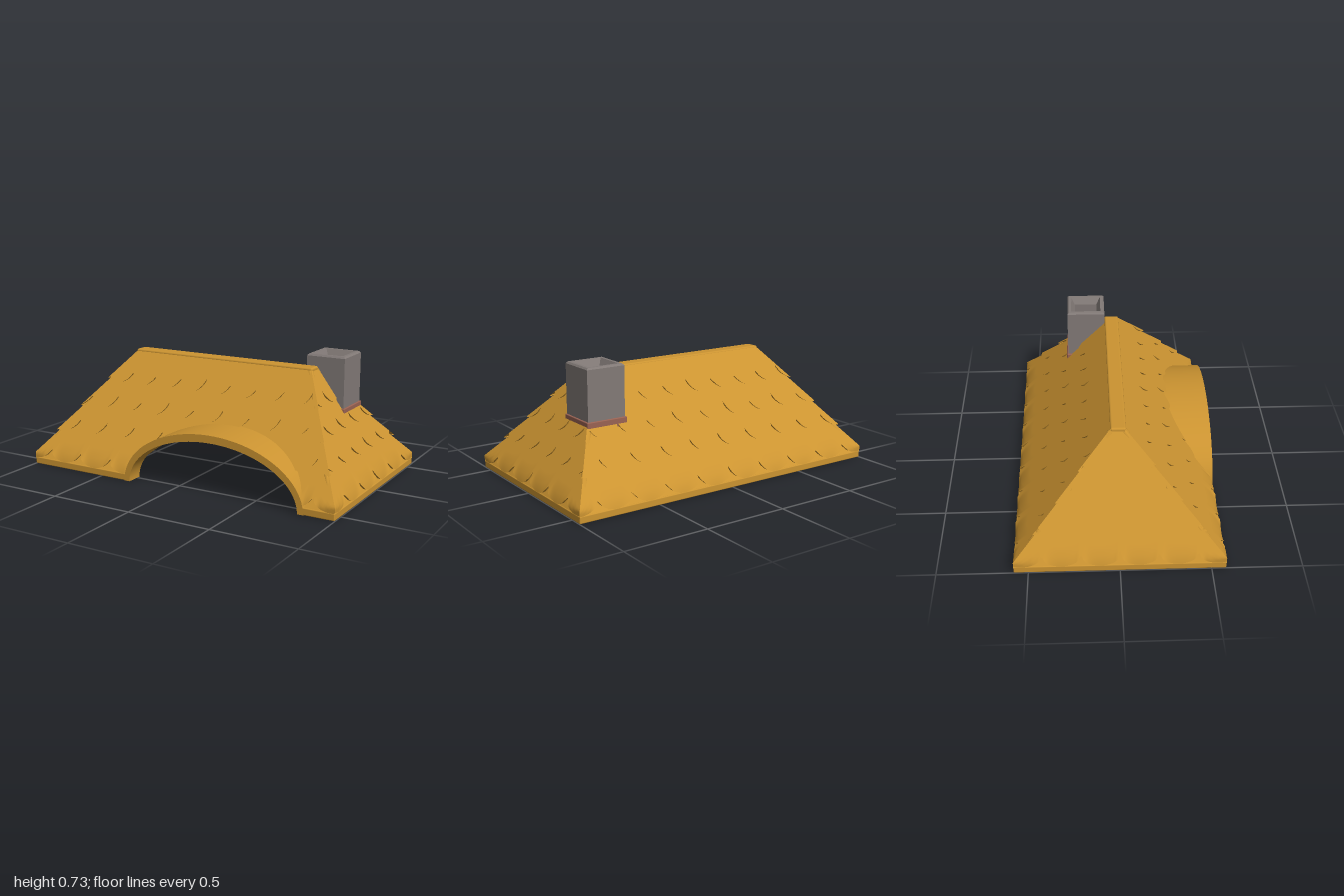
import * as THREE from 'three';
import { RoundedBoxGeometry } from 'three/addons/geometries/RoundedBoxGeometry.js';

const mat = (name, color, side = THREE.FrontSide) => {
  const m = new THREE.MeshStandardMaterial({ color, side });
  m.name = name;
  return m;
};

// Arch opening: centre, half width and height of the outer and inner curve
const ARCH = { x: 0.245, outW: 0.575, outH: 0.352, inW: 0.54, inH: 0.308 };
const PITCH = 0.14;
const archTop = (x) => {
  const t = (x - ARCH.x) / ARCH.outW;
  return Math.abs(t) < 1 ? ARCH.outH * Math.sqrt(1 - t * t) : 0;
};

// One slope strip facing +z, mitred at the hips, with a scalloped lower edge.
// The inset runs from 0 at the eaves to 1 at the ridge.
function slopeStrip({ len, lenIn, out, outIn, y0, y1, cusp = 0, width = 1, depth = 0, lift, tilt, arch }) {
  const a = 1 / 0.6 + tilt / PITCH;
  const b = -0.1 - lift - (tilt * y0) / PITCH;
  const inset = (y) => Math.max(0, a * y + b);
  const pos = [], idx = [];
  const half = len - lenIn * inset(y0);
  const cols = Math.round(half * 200), segs = 5, stride = segs + 3;
  const add = (u, y, extra = 0) => pos.push(u, y, out - outIn * (inset(y) + extra));
  const open = [];
  for (let i = 0; i <= cols; i++) {
    const u = -half + (2 * half * i) / cols;
    const phase = (((u - cusp) / width) % 1 + 1) % 1;
    const t = phase * 2 - 1;
    let low = y0 + depth * (1 - Math.sqrt(Math.max(0, 1 - t * t)));
    if (arch) low = Math.max(low, archTop(u) - 0.012);
    const hip = ((len - Math.abs(u)) / lenIn - b) / a;
    const top = Math.max(y0, Math.min(y1, hip));
    low = Math.min(low, top);
    open.push(top - low > 1e-5);
    add(u, low, tilt ? 0.034 : 0);
    add(u, low);
    for (let j = 0; j <= segs; j++) add(u, low + ((top - low) * j) / segs);
  }
  for (let i = 0; i < cols; i++) {
    if (!open[i] && !open[i + 1]) continue;
    for (let j = 0; j < stride - 1; j++) {
      if (j === 1) continue; // crease between the lip and the tile face
      const p = i * stride + j, q = p + stride;
      idx.push(p, q, q + 1, p, q + 1, p + 1);
    }
  }
  const g = new THREE.BufferGeometry();
  g.setAttribute('position', new THREE.Float32BufferAttribute(pos, 3));
  g.setIndex(idx);
  g.computeVertexNormals();
  return g;
}

// Barrel arch whose rear edge follows the roof slope
function archGeometry() {
  const pos = [], idx = [], n = 64;
  const back = (y) => Math.min(0.48, 0.58 - 0.535 * Math.max(0, (y - 0.06) / 0.6 + 0.02));
  for (let i = 0; i <= n; i++) {
    const t = Math.PI * (1 - i / n);
    const c = Math.cos(t), s = Math.max(0, Math.sin(t));
    const o = [ARCH.x + ARCH.outW * c, ARCH.outH * s];
    const k = [ARCH.x + ARCH.inW * c, ARCH.inH * s];
    const zb = back(o[1]);
    const ring = [[...o, zb], [...o, 0.58], [...k, 0.58], [...k, zb]];
    // every corner is doubled to keep the edges sharp
    for (let j = 0; j < 4; j++) pos.push(...ring[j], ...ring[(j + 1) % 4]);
  }
  for (let i = 0; i < n; i++) {
    for (let j = 0; j < 4; j++) {
      const p = i * 8 + j * 2, q = p + 8;
      idx.push(p, p + 1, q + 1, p, q + 1, q);
    }
  }
  const g = new THREE.BufferGeometry();
  g.setAttribute('position', new THREE.Float32BufferAttribute(pos, 3));
  g.setIndex(idx);
  g.computeVertexNormals();
  return g;
}

// Square frustum ring: a list of [half size, y] corners swept round four sides
function squareLathe(profile) {
  const pts = profile.map(([r, y]) => new THREE.Vector2(r * Math.SQRT2, y));
  const g = new THREE.LatheGeometry(pts, 4, Math.PI / 4).toNonIndexed();
  g.computeVertexNormals();
  return g;
}

export function createModel() {
  const model = new THREE.Group();
  model.name = 'tiledRoof';
  const gold = mat('golden tile', 0xcc9431, THREE.DoubleSide);
  const grey = mat('chimney grey', 0x827a77);
  const brown = mat('flashing brown', 0x9a6353);
  const part = (name, geo, m, parent = model) => {
    const mesh = new THREE.Mesh(geo, m);
    mesh.name = name;
    parent.add(mesh);
    return mesh;
  };
  const box = (name, x0, x1, y0, y1, z0, z1, m, r = 0.006) =>
    part(name, new RoundedBoxGeometry(x1 - x0, y1 - y0, z1 - z0, 2, r), m)
      .position.set((x0 + x1) / 2, (y0 + y1) / 2, (z0 + z1) / 2);

  // Four slopes: an under-layer and four overlapping rows of scalloped tiles
  const longSide = { len: 1, lenIn: 0.4, out: 0.58, outIn: 0.535 };
  const shortSide = { len: 0.58, lenIn: 0.535, out: 1, outIn: 0.4 };
  const longRows = [[-0.01, 0.219], [0.02, 0.2], [-0.03, 0.185], [-0.03, 0.173]];
  const shortRows = [[0, 0.213], [0.09, 0.183], [0.085, 0.17], [0.07, 0.14]];
  const starts = [0.04, 0.2, 0.34, 0.48];
  ['front', 'left', 'back', 'right'].forEach((side, f) => {
    const slope = new THREE.Group();
    slope.name = side + 'Slope';
    slope.rotation.y = (f * Math.PI) / 2;
    model.add(slope);
    const dims = f % 2 ? shortSide : longSide;
    const arch = f === 0;
    part('underLayer', slopeStrip({ ...dims, y0: 0.035, y1: 0.65, lift: -0.035, tilt: 0, arch }), gold, slope);
    starts.forEach((y0, k) => {
      const [cusp, width] = (f % 2 ? shortRows : longRows)[k];
      const y1 = k < 3 ? starts[k + 1] + 0.1 : 0.66;
      part('tileRow' + (k + 1), slopeStrip({
        ...dims, y0, y1, cusp, width, depth: 0.078, lift: 0.03, tilt: 0.03, arch,
      }), gold, slope);
    });
  });

  // Hip caps and ridge cap
  const up = new THREE.Vector3(0, 1, 0);
  for (const sx of [-1, 1]) for (const sz of [-1, 1]) {
    const a = new THREE.Vector3(sx * 0.975, 0.06, sz * 0.557);
    const b = new THREE.Vector3(sx * 0.59, 0.64, sz * 0.035);
    const cap = part('hipCap', new THREE.CylinderGeometry(0.02, 0.02, a.distanceTo(b), 12), gold);
    cap.position.copy(a).lerp(b, 0.5);
    cap.quaternion.setFromUnitVectors(up, b.sub(a).normalize());
  }
  box('ridgeCap', -0.605, 0.605, 0.62, 0.668, -0.042, 0.046, gold, 0.012);

  // Eaves frame, open where the arch stands
  box('backEave', -1, 1, 0, 0.042, -0.58, -0.48, gold);
  box('leftEave', 0.9, 1, 0, 0.042, -0.58, 0.58, gold);
  box('rightEave', -1, -0.9, 0, 0.042, -0.58, 0.58, gold);
  box('frontEaveRight', -1, -0.3, 0, 0.042, 0.48, 0.58, gold);
  box('frontEaveLeft', 0.79, 1, 0, 0.042, 0.48, 0.58, gold);

  part('entranceArch', archGeometry(), gold);

  // Chimney with a bevelled rim and a sunken flue, on a brown collar
  const stack = part('chimney', squareLathe([
    [0.117, 0.37], [0.117, 0.722], [0.109, 0.732], [0.092, 0.732], [0.07, 0.69], [0.07, 0.62], [0, 0.62],
  ]), grey);
  stack.position.set(0.648, 0, -0.159);
  box('chimneyCollar', 0.522, 0.774, 0.378, 0.434, -0.285, -0.034, brown, 0.005);
  return model;
}
